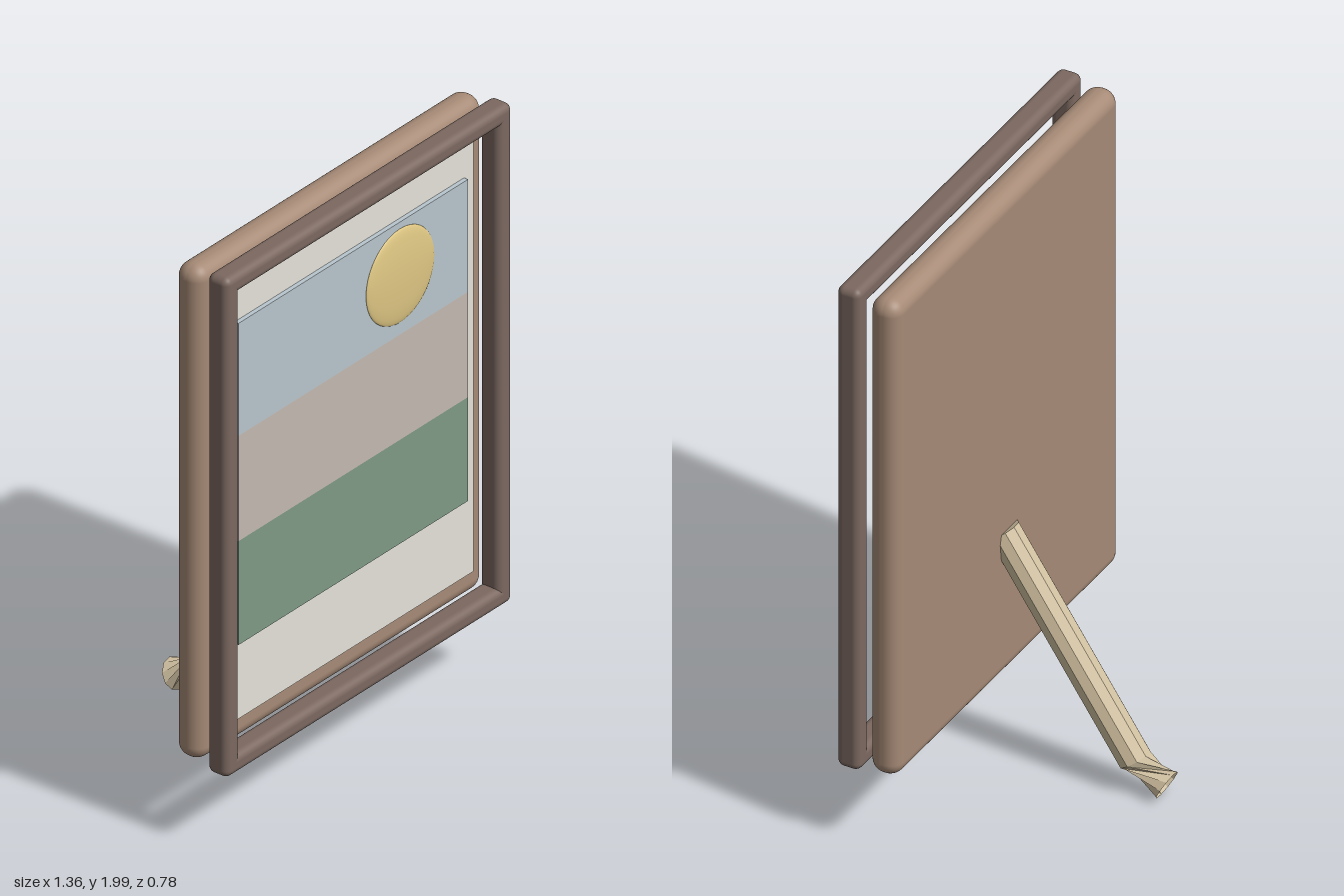
import * as THREE from 'three';
import { RoundedBoxGeometry } from 'three/addons/geometries/RoundedBoxGeometry.js';

function addMesh(group, name, geometry, color, options = {}) {
  const mesh = new THREE.Mesh(geometry, new THREE.MeshStandardMaterial({ color, ...options }));
  mesh.name = name;
  group.add(mesh);
  return mesh;
}

// Box given by its limits, optionally with rounded edges
function addBox(group, name, color, [x0, x1], [y0, y1], [z0, z1], radius = 0) {
  const size = [x1 - x0, y1 - y0, z1 - z0];
  const geometry = radius
    ? new RoundedBoxGeometry(...size, 5, radius)
    : new THREE.BoxGeometry(...size);
  const mesh = addMesh(group, name, geometry, color);
  mesh.position.set((x0 + x1) / 2, (y0 + y1) / 2, (z0 + z1) / 2);
  return mesh;
}

// Faceted leg: rings of points in the yz plane's path, the last one twisted
function legGeometry() {
  const sides = 10;
  const rings = [
    { y: 0.787, z: 0.2, ty: -0.83, tz: -0.555, r: 0.054, turn: 0.1 },
    { y: 0.112, z: -0.252, ty: -0.83, tz: -0.555, r: 0.054, turn: 0.1 },
    { y: 0.053, z: -0.362, ty: -0.46, tz: -0.89, r: 0.052, turn: 2.1 },
  ];
  const positions = [];
  const index = [];
  for (const { y, z, ty, tz, r, turn } of rings) {
    for (let i = 0; i < sides; i++) {
      const a = turn + (i / sides) * Math.PI * 2;
      const u = Math.cos(a) * r;
      const v = Math.sin(a) * r;
      positions.push(u, y - tz * v, z + ty * v);
    }
  }
  for (let k = 0; k < rings.length - 1; k++) {
    for (let i = 0; i < sides; i++) {
      const a = k * sides + i;
      const b = k * sides + ((i + 1) % sides);
      index.push(a, a + sides, b, b, a + sides, b + sides);
    }
  }
  // Cap on the upper end; the foot stays open
  for (let i = 1; i < sides - 1; i++) index.push(0, i, i + 1);
  const geometry = new THREE.BufferGeometry();
  geometry.setAttribute('position', new THREE.Float32BufferAttribute(positions, 3));
  geometry.setIndex(index);
  geometry.computeVertexNormals();
  return geometry;
}

export function createModel() {
  const model = new THREE.Group();
  model.name = 'pictureFrame';

  // Backing board
  addBox(model, 'backingBoard', 0xa68a76, [-0.68, 0.68], [0.28, 1.99], [0.18, 0.283], 0.048);

  // Front frame of four rounded rails
  const frame = new THREE.Group();
  frame.name = 'frontFrame';
  model.add(frame);
  const depth = [0.31, 0.39];
  const wood = 0x7b6860;
  addBox(frame, 'topRail', wood, [-0.68, 0.68], [1.935, 2.0], depth, 0.024);
  addBox(frame, 'bottomRail', wood, [-0.68, 0.68], [0.27, 0.335], depth, 0.024);
  addBox(frame, 'leftRail', wood, [0.615, 0.68], [0.27, 2.0], depth, 0.024);
  addBox(frame, 'rightRail', wood, [-0.68, -0.615], [0.27, 2.0], depth, 0.024);

  // Mat and landscape bands
  addBox(model, 'mat', 0xe4e2da, [-0.59, 0.59], [0.385, 1.887], [0.287, 0.31]);
  const bands = [
    ['skyBand', 0xb9c6cd, 1.38, 1.77],
    ['hazeBand', 0xc3b8b0, 1.015, 1.38],
    ['fieldBand', 0x7f9a86, 0.655, 1.015],
  ];
  for (const [name, color, y0, y1] of bands) {
    addBox(model, name, color, [-0.545, 0.545], [y0, y1], [0.305, 0.325]);
  }

  // Sun: a shallow domed disc
  const sun = addMesh(model, 'sun', new THREE.SphereGeometry(0.162, 40, 20), 0xe0c884);
  sun.scale.z = 0.1;
  sun.position.set(0.222, 1.585, 0.325);

  // Rear support leg
  addMesh(model, 'supportLeg', legGeometry(), 0xd0c0a0, {
    flatShading: true,
    side: THREE.DoubleSide,
  });

  return model;
}
